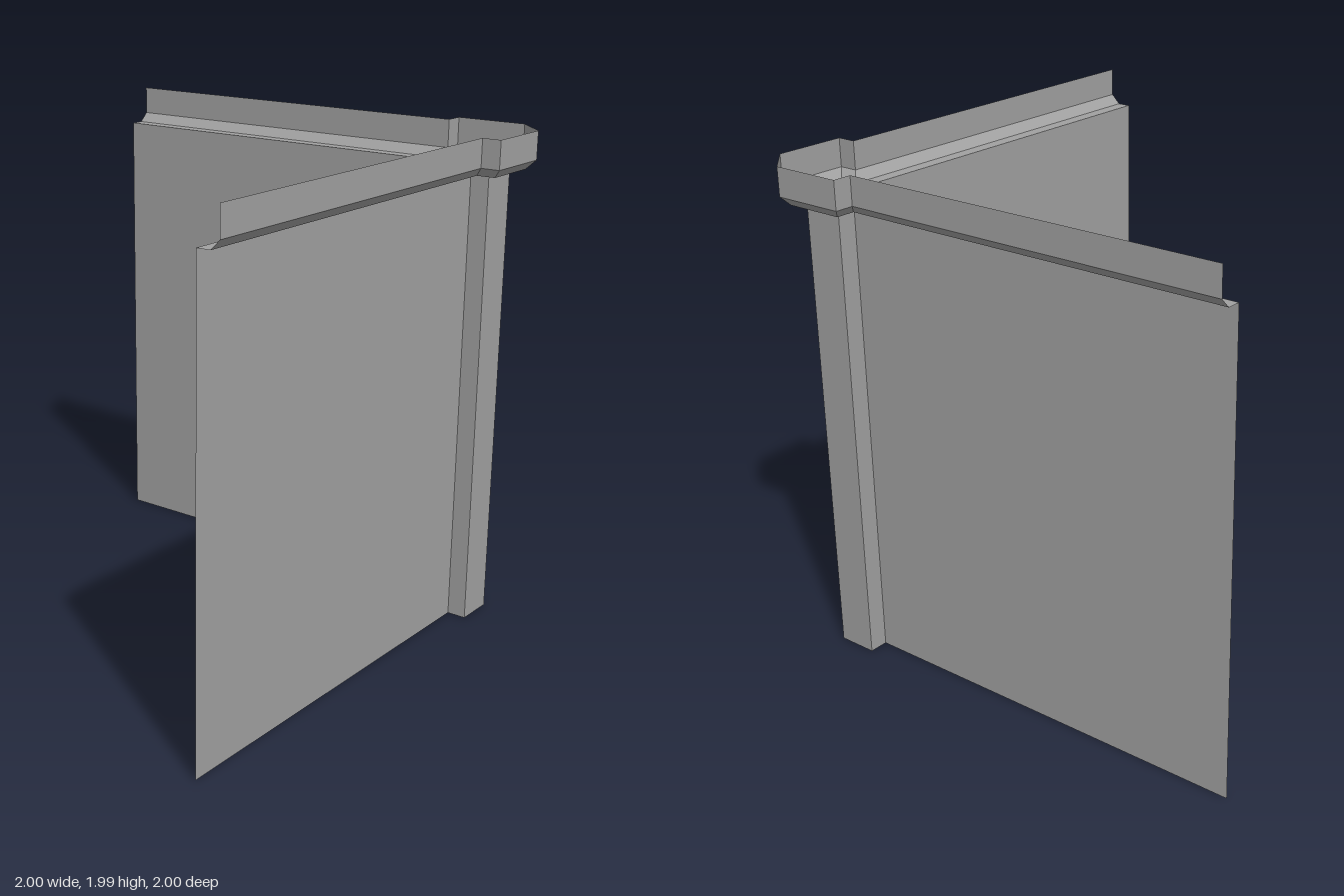
import * as THREE from 'three';

// Plan of the wall line [x, z]: front wall, corner pilaster with chamfer, side wall
const half = [[-1, 0.83], [0.675, 0.83], [0.675, 0.907], [0.838, 0.907]];
const path = [...half, ...half.map(([x, z]) => [z, x]).reverse()];

// Plan pushed outwards by d, with mitred corners
function offsetPath(d) {
  const normals = path.slice(1).map(([x, z], i) =>
    new THREE.Vector2(path[i][1] - z, x - path[i][0]).normalize());
  return path.map(([x, z], i) => {
    const a = normals[Math.max(i - 1, 0)];
    const b = normals[Math.min(i, normals.length - 1)];
    const k = d / (1 + a.dot(b));
    return [x + (a.x + b.x) * k, z + (a.y + b.y) * k];
  });
}

// Sweep a profile of [outward offset, height] along the plan
function sweep(profile) {
  const rings = profile.map(([d, y]) => offsetPath(d).map(([x, z]) => [x, y, z]));
  const positions = [];
  for (let j = 0; j < rings.length - 1; j++) {
    for (let i = 0; i < path.length - 1; i++) {
      const a = rings[j][i], b = rings[j][i + 1];
      const c = rings[j + 1][i + 1], d = rings[j + 1][i];
      positions.push(...a, ...b, ...c, ...a, ...c, ...d);
    }
  }
  const geometry = new THREE.BufferGeometry();
  geometry.setAttribute('position', new THREE.Float32BufferAttribute(positions, 3));
  geometry.computeVertexNormals();
  return geometry;
}

export function createModel() {
  const group = new THREE.Group();
  group.name = 'cornerWall';
  const grey = new THREE.MeshStandardMaterial({ color: 0xa0a0a0, side: THREE.DoubleSide });
  grey.name = 'grey';

  const add = (name, profile) => {
    const mesh = new THREE.Mesh(sweep(profile), grey);
    mesh.name = name;
    group.add(mesh);
  };

  // Open wall sheet with the corner pilaster
  add('wall', [[0, 0], [0, 1.84]]);
  // Cornice: soffit, sloped edge and upright band
  add('cornice', [[0, 1.84], [0.055, 1.84], [0.092, 1.877], [0.092, 1.99]]);

  return group;
}
